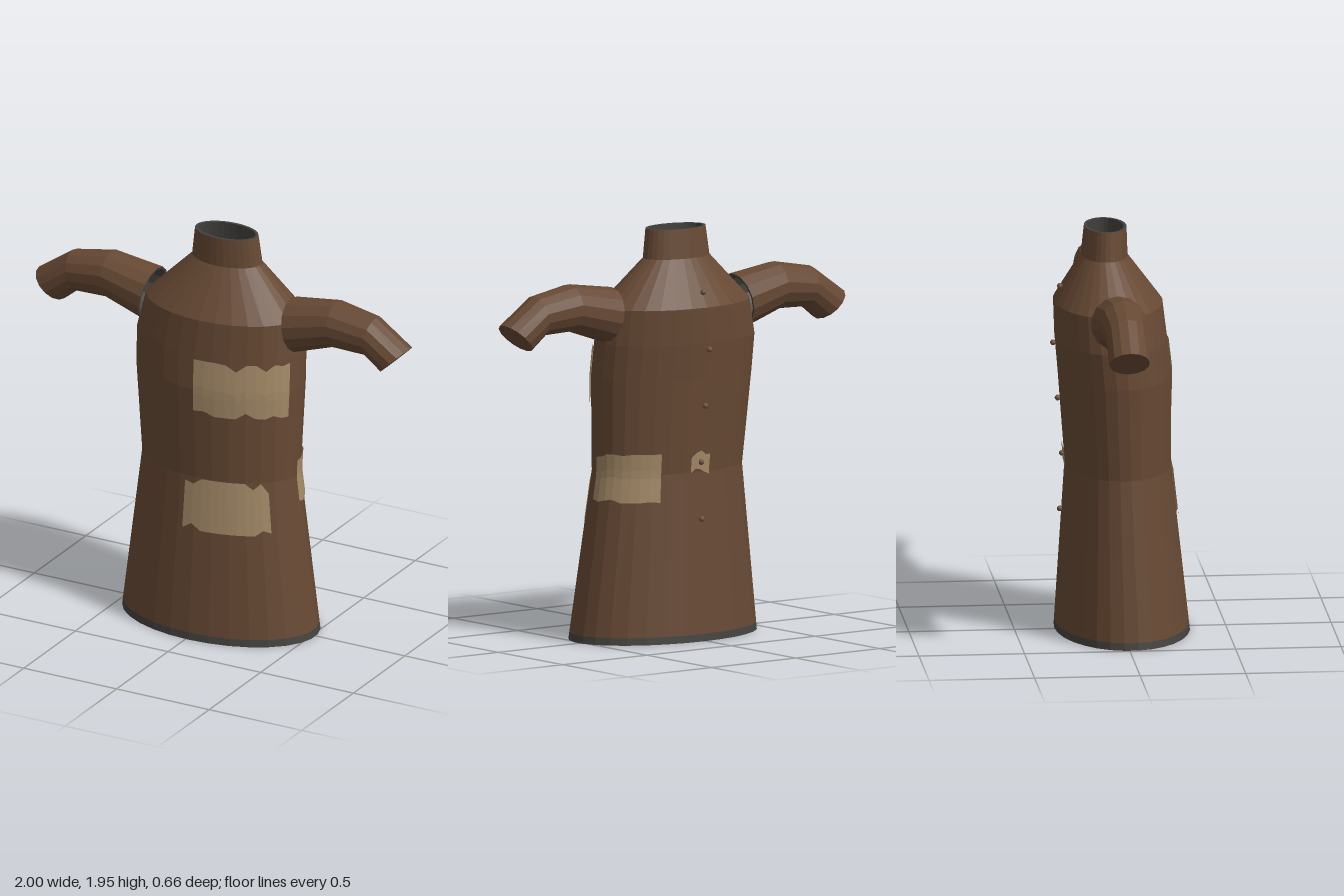
import * as THREE from 'three';

const mat = (name, color, side = THREE.FrontSide) =>
  Object.assign(new THREE.MeshStandardMaterial({ color, side }), { name });

// Body sections: y, left-right limits, back-front limits
const SECTIONS = [
  [0, -0.49, 0.52, -0.31, 0.33],
  [0.8, -0.40, 0.41, -0.26, 0.24],
  [1.25, -0.44, 0.425, -0.295, 0.24],
  [1.42, -0.445, 0.42, -0.31, 0.22],
  [1.59, -0.405, 0.405, -0.315, 0.20],
  [1.81, -0.18, 0.18, -0.185, 0.035],
  [1.95, -0.162, 0.162, -0.17, 0.03],
];

// Point on the body; angle 0 is the front, PI/2 is +x
function bodyPoint(y, angle, offset = 0) {
  let i = 0;
  while (i < SECTIONS.length - 2 && y > SECTIONS[i + 1][0]) i++;
  const a = SECTIONS[i], b = SECTIONS[i + 1];
  const t = (y - a[0]) / (b[0] - a[0]);
  const [, x0, x1, z0, z1] = a.map((v, k) => v + (b[k] - v) * t);
  return new THREE.Vector3(
    (x0 + x1) / 2 + ((x1 - x0) / 2 + offset) * Math.sin(angle), y,
    (z0 + z1) / 2 + ((z1 - z0) / 2 + offset) * Math.cos(angle));
}

// Flat-shaded skin over rows of points
function loft(rows, flip = false) {
  const pos = [];
  for (let i = 0; i < rows.length - 1; i++) {
    for (let j = 0; j < rows[i].length - 1; j++) {
      const a = rows[i][j], b = rows[i][j + 1], c = rows[i + 1][j + 1], d = rows[i + 1][j];
      for (const p of flip ? [a, c, b, a, d, c] : [a, b, c, a, c, d]) pos.push(p.x, p.y, p.z);
    }
  }
  const geo = new THREE.BufferGeometry();
  geo.setAttribute('position', new THREE.Float32BufferAttribute(pos, 3));
  geo.computeVertexNormals();
  return geo;
}

const SIDES = 30;
const bodyRing = (y, offset = 0) =>
  Array.from({ length: SIDES + 1 }, (_, j) => bodyPoint(y, (j / SIDES) * Math.PI * 2, offset));

// Sleeve stations: x, y, radius, direction
const SLEEVE = [
  [0.385, 1.56, 0.132, 0.98, 0.19],
  [0.61, 1.612, 0.113, 1, 0.02],
  [0.80, 1.59, 0.098, 0.98, -0.2],
  [0.93, 1.495, 0.096, 0.69, -0.72],
];
function sleeveRing([x, y, r, dx, dy], side, scale = 1) {
  const n = 14;
  return Array.from({ length: n + 1 }, (_, j) => {
    const a = side * (j / n) * Math.PI * 2, k = r * scale;
    return new THREE.Vector3(
      side * (x - dy * k * Math.cos(a)), y + dx * k * Math.cos(a), -0.043 + k * Math.sin(a));
  });
}

// Ragged cloth patch following the body; the edges list how far each column is cut in
function patchGeometry(a0, a1, y0, y1, topCuts, bottomCuts) {
  const rows = [], n = topCuts.length - 1, steps = 6;
  for (let i = 0; i <= steps; i++) {
    rows.push(topCuts.map((cut, j) => {
      const lo = y0 + bottomCuts[j], hi = y1 - cut;
      return bodyPoint(lo + (hi - lo) * (i / steps), a0 + (a1 - a0) * (j / n), 0.007);
    }));
  }
  return loft(rows);
}

export function createModel() {
  const model = new THREE.Group();
  model.name = 'garment';
  const brown = mat('brown cloth', 0x674934);
  const tan = mat('tan patch', 0xa48a68, THREE.DoubleSide);
  const grey = mat('dark grey lining', 0x45433f);
  const bronze = mat('dull button', 0x70543f);

  const add = (name, geo, material, parent = model) => {
    const mesh = new THREE.Mesh(geo, material);
    mesh.name = name;
    parent.add(mesh);
    return mesh;
  };

  // Body shell, hem, lining and collar rim
  const ys = SECTIONS.map((s) => s[0]);
  add('body', loft([0.035, ...ys.slice(1)].map((y) => bodyRing(y))), brown);
  add('hem', loft([bodyRing(0, -0.014), bodyRing(0), bodyRing(0.035)]), grey);
  add('lining', loft(ys.map((y) => bodyRing(y, -0.014)), true), grey);
  add('collarRim', loft([bodyRing(1.95), bodyRing(1.95, -0.014)]), grey);

  // Sleeves, closed at the wrist and lined at the shoulder
  for (const side of [1, -1]) {
    const sleeve = new THREE.Group();
    sleeve.name = side > 0 ? 'leftSleeve' : 'rightSleeve';
    model.add(sleeve);
    const rings = SLEEVE.map((s) => sleeveRing(s, side));
    rings.push(sleeveRing(SLEEVE[3], side, 0));
    add('sleeveShell', loft(rings), brown, sleeve);
    const inner = SLEEVE.slice(0, 2).map((s) => sleeveRing(s, side, 0.92));
    add('sleeveLining', loft(inner, true), grey, sleeve);
    add('sleeveRim', loft([inner[0], rings[0]]), grey, sleeve);
  }

  // Patches on the chest, belly, left side and back
  add('chestPatch', patchGeometry(0, 1.25, 1.13, 1.40,
    [0, 0, 0, 0.005, 0.035, 0, 0, 0.03, 0, 0.01, 0],
    [0.015, 0.02, 0, 0, 0, 0.03, 0.005, 0, 0.015, 0, 0]), tan);
  add('bellyPatch', patchGeometry(-0.13, 0.95, 0.545, 0.80,
    [0.02, 0.03, 0, 0, 0, 0, 0, 0, 0.03, 0, 0.05],
    [0, 0.03, 0, 0, 0, 0, 0, 0, 0, 0.025, 0.01]), tan);
  add('sidePatch', patchGeometry(1.53, 2.62, 0.67, 0.90,
    [0.02, 0.015, 0, 0, 0.005, 0, 0, 0, 0],
    [0.01, 0, 0.01, 0.015, 0, 0, 0, 0.005, 0]), tan);
  add('backPatch', patchGeometry(Math.PI - 0.13, Math.PI + 0.13, 0.79, 0.905,
    [0.03, 0.01, 0, 0.02, 0.02], [0.01, 0.03, 0.025, 0.01, 0]), tan);

  // Buttons down the back
  for (const y of [1.66, 1.39, 1.12, 0.85, 0.58]) {
    const button = add('button', new THREE.SphereGeometry(0.014, 8, 6), bronze);
    button.position.copy(bodyPoint(y, Math.PI, 0.011));
  }
  return model;
}
